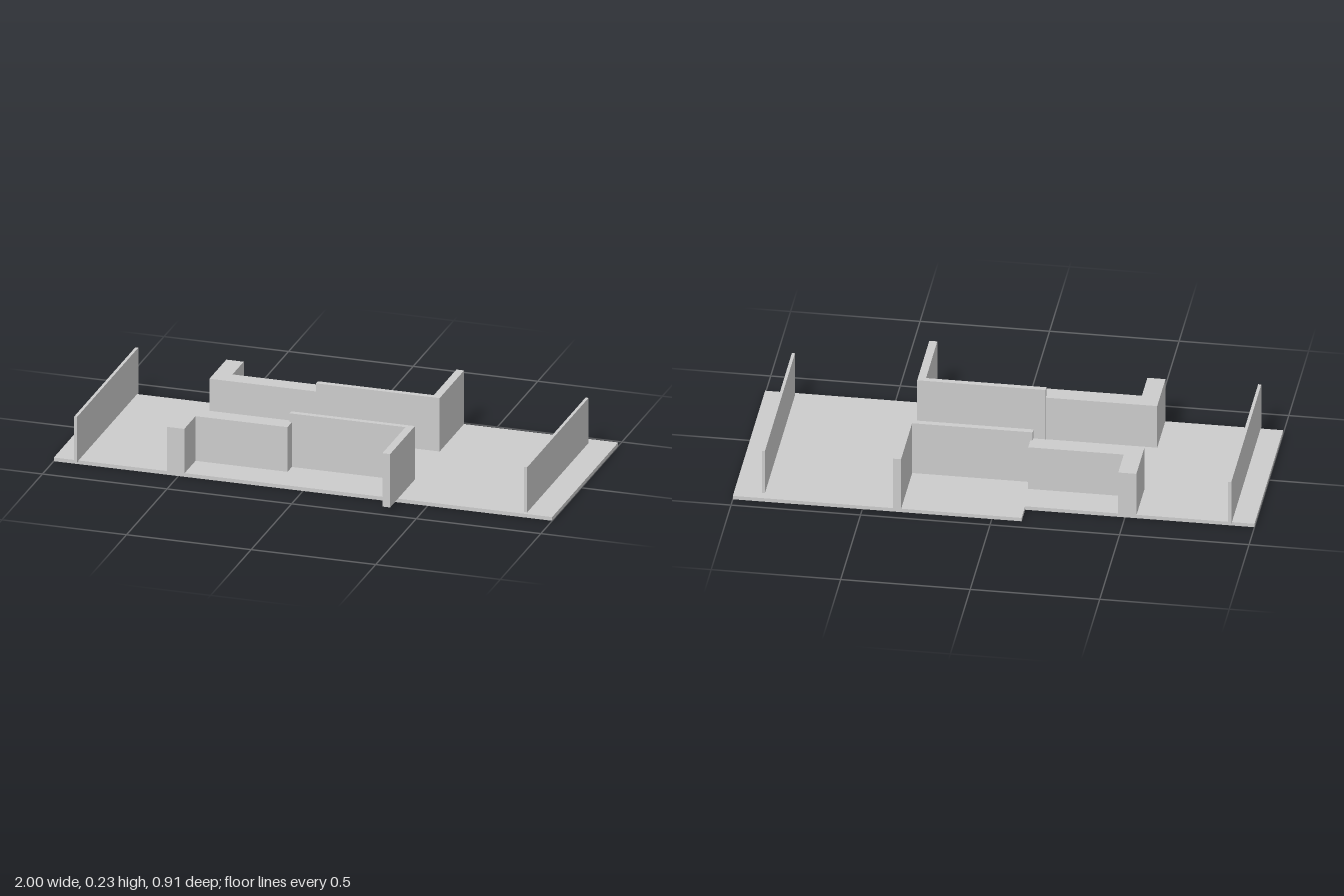
import * as THREE from 'three';

const material = new THREE.MeshStandardMaterial({ color: 0xcccccc, flatShading: true });

// Extrudes a floor plan, given as [x, z] corners, from y0 up to y1
function prism(name, plan, y0, y1) {
  const shape = new THREE.Shape(plan.map(([x, z]) => new THREE.Vector2(x, -z)));
  const geometry = new THREE.ExtrudeGeometry(shape, { depth: y1 - y0, bevelEnabled: false });
  geometry.rotateX(-Math.PI / 2).translate(0, y0, 0);
  const mesh = new THREE.Mesh(geometry, material);
  mesh.name = name;
  return mesh;
}

const rect = (x0, x1, z0, z1) => [[x0, z0], [x1, z0], [x1, z1], [x0, z1]];

// L-shaped plan: a wall along x from xFree to xCorner, and a leg at xCorner out to zEnd
const ell = (xFree, xLeg, xCorner, zInner, zOuter, zEnd) => [
  [xFree, zInner], [xCorner, zInner], [xCorner, zEnd],
  [xLeg, zEnd], [xLeg, zOuter], [xFree, zOuter],
];

export function createModel() {
  const group = new THREE.Group();
  group.name = 'walledPlatform';
  const top = 0.015;

  // Floor slab with a step in its back edge
  group.add(prism('floorSlab', [
    [-1, 0.36], [1, 0.36], [1, -0.455], [-0.115, -0.455], [-0.115, -0.365], [-1, -0.365],
  ], 0, top));

  // Thin end walls
  group.add(prism('rightEndWall', rect(-0.913, -0.901, -0.38, 0.376), 0.012, 0.2));
  group.add(prism('leftEndWall', rect(0.882, 0.894, -0.415, 0.342), top, 0.2));

  // Thick, lower L-shaped walls
  group.add(prism('backThickWall', ell(-0.106, -0.475, -0.545, -0.161, -0.231, -0.37), top, 0.198));
  group.add(prism('frontThickWall', ell(-0.106, -0.475, -0.545, 0.155, 0.225, 0.364), top, 0.198));

  // Thin, taller L-shaped walls
  group.add(prism('backThinWall', ell(-0.115, 0.35, 0.381, -0.155, -0.178, -0.457), top, 0.234));
  group.add(prism('frontThinWall', ell(-0.115, 0.35, 0.381, 0.15, 0.172, 0.456), top, 0.234));

  return group;
}
